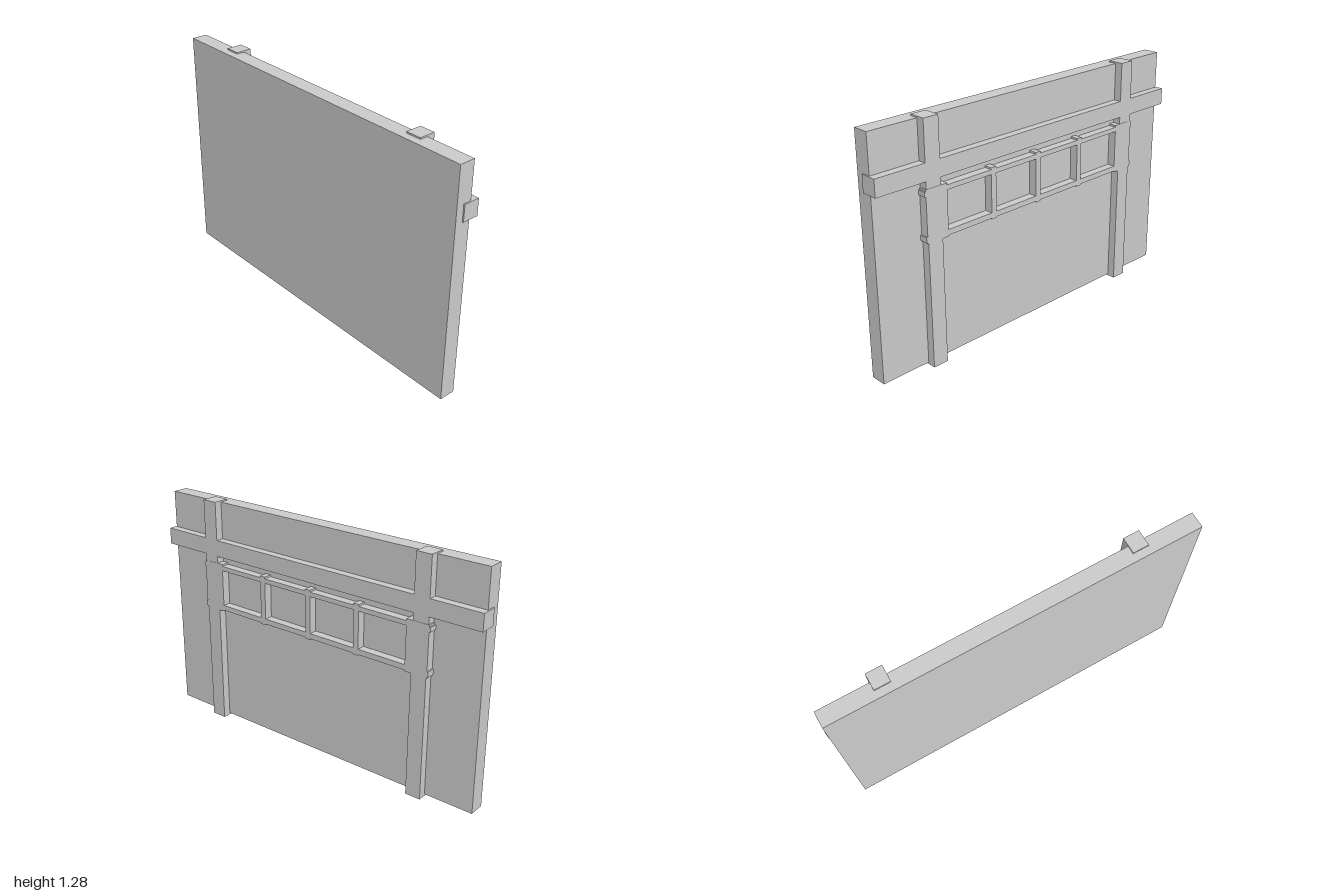
import * as THREE from 'three';

export function createModel() {
  const model = new THREE.Group();
  model.name = 'timberWallPanel';
  const material = new THREE.MeshStandardMaterial({ color: 0xcccccc, flatShading: true });

  // Box given by its lower and upper limits on each axis
  function box(name, [x0, x1], [y0, y1], [z0, z1]) {
    const mesh = new THREE.Mesh(new THREE.BoxGeometry(x1 - x0, y1 - y0, z1 - z0), material);
    mesh.position.set((x0 + x1) / 2, (y0 + y1) / 2, (z0 + z1) / 2);
    mesh.name = name;
    model.add(mesh);
  }

  // Wall slab
  box('wall', [-0.067, 0.02], [0.01, 1.272], [-0.993, 0.993]);

  // Timber frame: long beam and two posts, proud of the wall
  const timber = [-0.025, 0.0635];
  box('beam', timber, [0.98, 1.07], [-1, 1]);
  for (const s of [-1, 1]) {
    const c = s * 0.677;
    box('post', timber, [0, 1.28], [c - 0.043, c + 0.043]);
  }

  // Lattice rails running past the posts
  const lattice = [0.015, 0.065];
  box('topRail', lattice, [0.907, 0.932], [-0.732, 0.732]);
  box('bottomRail', lattice, [0.677, 0.706], [-0.732, 0.732]);

  // Mullions with ends slightly beyond the rails
  for (const z of [-0.306, 0, 0.306]) {
    box('mullion', lattice, [0.671, 0.942], [z - 0.016, z + 0.016]);
  }

  // Wide end stiles covering the posts
  for (const s of [-1, 1]) {
    const c = s * 0.662;
    box('endStile', lattice, [0.671, 0.942], [c - 0.063, c + 0.063]);
  }
  return model;
}
